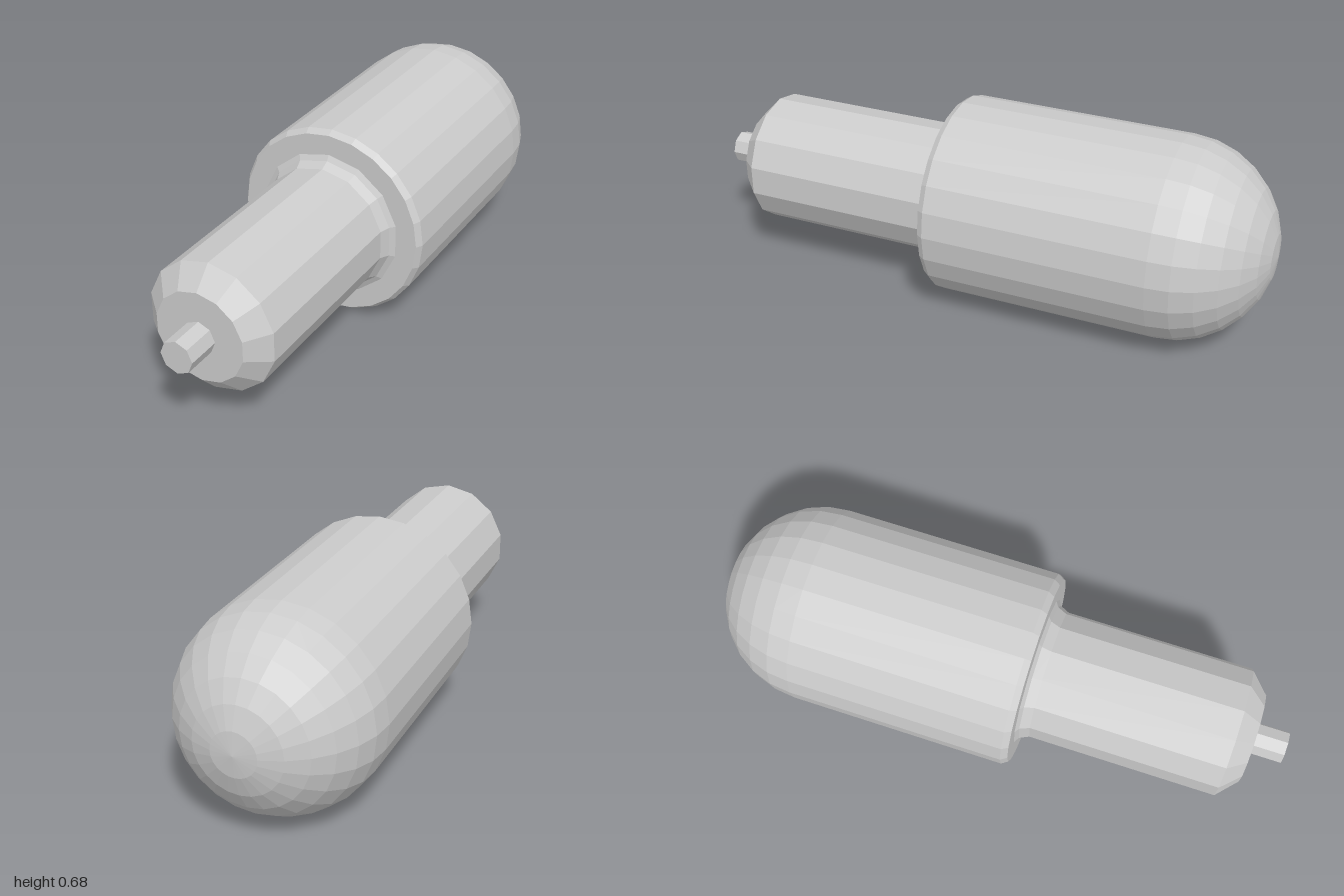
import * as THREE from 'three';

const AXIS_Y = 0.345;

export function createModel() {
  const group = new THREE.Group();
  const material = new THREE.MeshStandardMaterial({ color: 0xcccccc, flatShading: true });

  // Revolve a [radius, z] profile, listed from back to front, about the long axis
  function addTurned(name, profile, sides) {
    const points = profile.map(([r, z]) => new THREE.Vector2(r, z));
    const geometry = new THREE.LatheGeometry(points, sides).rotateX(Math.PI / 2);
    const mesh = new THREE.Mesh(geometry, material);
    mesh.name = name;
    mesh.position.y = AXIS_Y;
    group.add(mesh);
  }

  // Thick body: hemispherical back end, straight sides, softened front rim
  const bodyRadius = 0.342;
  const body = [];
  const rings = 7;
  for (let i = 0; i <= rings; i++) {
    const a = (i / rings) * Math.PI / 2;
    body.push([bodyRadius * Math.sin(a), -0.658 - bodyRadius * Math.cos(a)]);
  }
  body.push([bodyRadius, 0.1], [0.328, 0.122], [0.2, 0.122]);
  addTurned('body', body, 24);

  // Small fillet where the shaft leaves the body
  addTurned('shoulderFillet', [[0.262, 0.12], [0.24, 0.133], [0.223, 0.17]], 14);

  // Shaft with a chamfered front end
  addTurned('shaft', [[0.225, 0.11], [0.225, 0.82], [0.156, 0.885], [0, 0.885]], 14);

  // Octagonal pin at the tip
  addTurned('pin', [[0.056, 0.87], [0.056, 1], [0, 1]], 8);

  return group;
}
